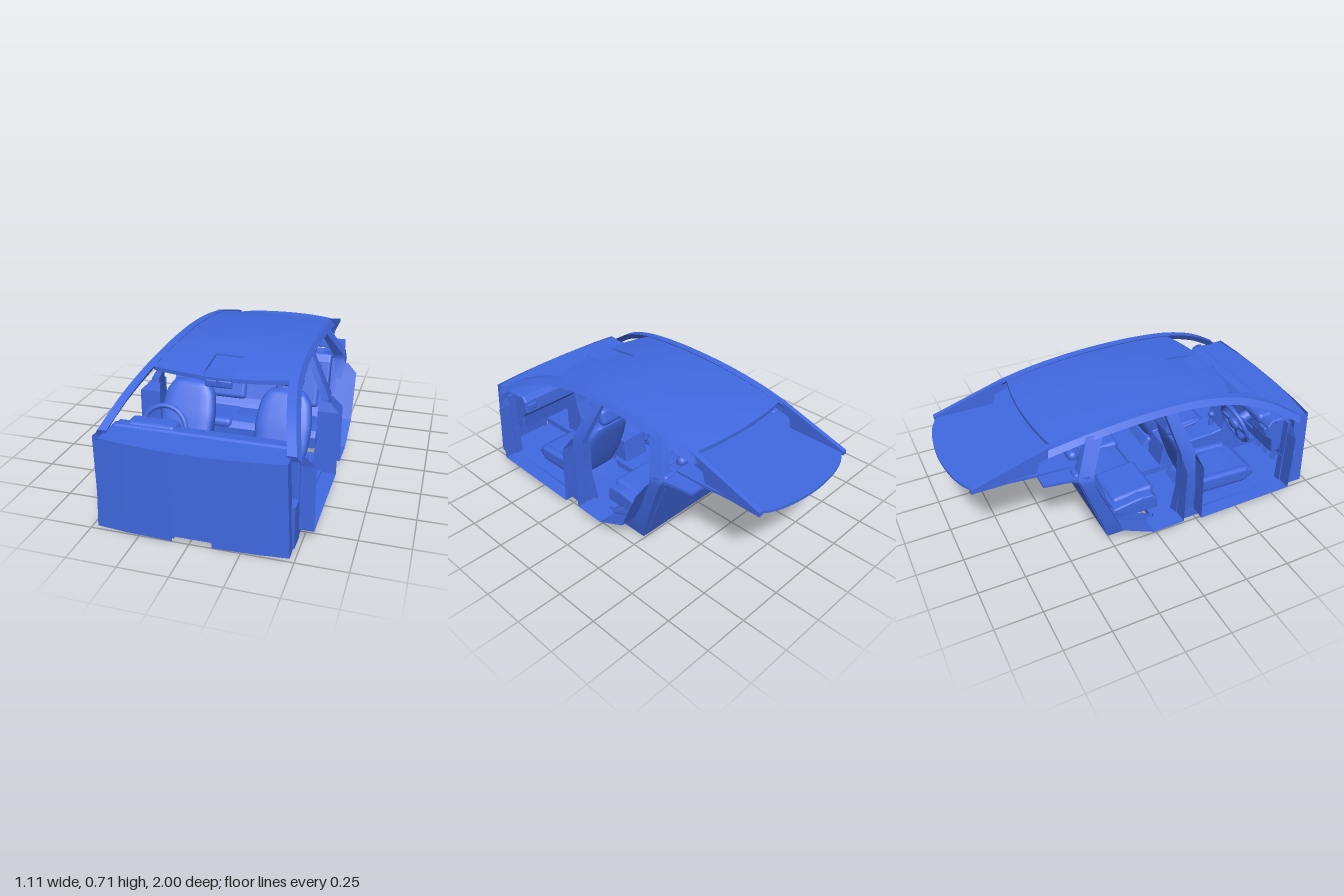
import * as THREE from 'three';
import { RoundedBoxGeometry } from 'three/addons/geometries/RoundedBoxGeometry.js';

const solid = new THREE.MeshStandardMaterial({ color: 0x4169e1 });
const thin = new THREE.MeshStandardMaterial({ color: 0x4169e1, side: THREE.DoubleSide });

function add(parent, name, geo, pos = [0, 0, 0], rot = [0, 0, 0], mat = solid) {
  const m = new THREE.Mesh(geo, mat);
  m.name = name;
  m.position.set(...pos);
  m.rotation.set(...rot);
  parent.add(m);
  return m;
}
// Box between two corners
function box(parent, name, x0, x1, y0, y1, z0, z1) {
  return add(parent, name, new THREE.BoxGeometry(x1 - x0, y1 - y0, z1 - z0),
    [(x0 + x1) / 2, (y0 + y1) / 2, (z0 + z1) / 2]);
}
// Moves every vertex by a rule
function warp(geo, fn) {
  const p = geo.attributes.position;
  for (let i = 0; i < p.count; i++) p.setXYZ(i, ...fn(p.getX(i), p.getY(i), p.getZ(i)));
  geo.computeVertexNormals();
  return geo;
}
// Interpolates a table row at t in 0..1
function rowAt(rows, t) {
  const f = t * (rows.length - 1), i = Math.min(Math.floor(f), rows.length - 2);
  return rows[i].map((a, k) => a + (rows[i + 1][k] - a) * (f - i));
}
// Side profile of [z, y] points, extruded across x
function profile(pts, x0, x1, bevel = 0) {
  const s = new THREE.Shape(pts.map(p => new THREE.Vector2(...p)));
  const g = new THREE.ExtrudeGeometry(s, {
    depth: x1 - x0 - 2 * bevel, bevelEnabled: bevel > 0, bevelSize: bevel,
    bevelThickness: bevel, bevelOffset: -bevel, bevelSegments: 3
  });
  return g.rotateY(-Math.PI / 2).translate(x1 - bevel, 0, 0);
}
// Sheet swept along a list of points, from edge a to edge b
function ribbon(pairs) {
  const g = new THREE.PlaneGeometry(1, 1, pairs.length - 1, 1).toNonIndexed();
  return warp(g, (x, y) => pairs[Math.round((x + 0.5) * (pairs.length - 1))][y > 0 ? 1 : 0]);
}
// Post: rows of [y, x inner, x outer, z back, z front], bottom to top
function post(rows) {
  const g = new THREE.BoxGeometry(1, 1, 1, 1, rows.length - 1, 1);
  return warp(g, (x, y, z) => {
    const [h, xi, xo, zb, zf] = rowAt(rows, y + 0.5);
    return [x < 0 ? xi : xo, h, z < 0 ? zb : zf];
  });
}
// Rounded cushion: rows of [y, z, half width, half depth]
function cushion(rows) {
  const g = new THREE.SphereGeometry(1, 24, 20);
  return warp(g, (x, y, z) => {
    const t = Math.acos(Math.max(-1, Math.min(1, -y))) / Math.PI;
    const [h, zc, w, d] = rowAt(rows, t);
    const r = Math.hypot(x, z) || 1, c = x / r, s = z / r;
    const pw = a => Math.sign(a) * Math.pow(Math.abs(a), 0.55);
    const k = Math.min(1, r * 2.5);
    return [pw(c) * w * k, h, zc + pw(s) * d * k];
  });
}
const roofY = (x, z) => 0.71 - (z > 0.12 ? 0.227 : 0.138) * (z - 0.12) ** 2 - 0.013 * (x / 0.35) ** 2;

function roofPatch(x0, x1, front) {
  return warp(new THREE.BoxGeometry(1, 1, 1, 10, 1, 18), (u, t, v) => {
    const x = x0 + (x1 - x0) * (u + 0.5);
    const zb = -0.545 + 0.04 * (x / 0.35) ** 2, zf = front(x);
    const z = zb + (zf - zb) * (v + 0.5);
    return [x, roofY(x, z) - (t < 0 ? 0.02 : 0), z];
  });
}

function buildSide() {
  const g = new THREE.Group();
  // Windscreen pillar and roof rail, running rear to front
  const path = new THREE.CatmullRomCurve3([
    [0.345, 0.625, -0.54], [0.352, 0.657, -0.35], [0.355, 0.68, -0.12], [0.355, 0.688, 0.1],
    [0.36, 0.68, 0.3], [0.38, 0.645, 0.52], [0.42, 0.57, 0.72], [0.465, 0.465, 0.89]
  ].map(p => new THREE.Vector3(...p)));
  add(g, 'roofRail', warp(new THREE.BoxGeometry(1, 1, 1, 1, 1, 28), (x, y, z) => {
    const p = path.getPoint(z + 0.5);
    return [p.x + x * 0.045 - y * 0.02, p.y + y * 0.032, p.z + y * 0.012];
  }));
  add(g, 'centrePillar', post([
    [0.03, 0.41, 0.47, 0.13, 0.25], [0.24, 0.44, 0.485, 0.14, 0.24],
    [0.47, 0.45, 0.49, 0.14, 0.22], [0.69, 0.345, 0.375, 0.09, 0.15]
  ]));
  add(g, 'rearPillar', post([
    [0.03, 0.39, 0.44, -0.26, 0.03], [0.075, 0.4, 0.45, -0.275, -0.04], [0.15, 0.41, 0.46, -0.3, -0.22],
    [0.3, 0.42, 0.47, -0.355, -0.29], [0.46, 0.42, 0.48, -0.415, -0.35],
    [0.5, 0.41, 0.47, -0.43, -0.345], [0.665, 0.345, 0.375, -0.34, -0.25]
  ]));
  // Door jambs: flanges that follow the openings outward
  const jamb = pts => ribbon(pts.map(([z, y]) =>
    [[0.44, y, z], [y > 0.41 ? 0.5 : 0.553, y, z]]));
  add(g, 'frontDoorJamb', jamb([[0.83, 0.45], [0.82, 0.4], [0.82, 0.06], [0.25, 0.05], [0.24, 0.4], [0.225, 0.45]]),
    undefined, undefined, thin);
  add(g, 'rearDoorJamb', jamb([[0.14, 0.45], [0.14, 0.4], [0.14, 0.07], [-0.04, 0.065], [-0.22, 0.15],
    [-0.33, 0.4], [-0.35, 0.45]]), undefined, undefined, thin);
  box(g, 'sill', 0.41, 0.475, 0.005, 0.06, 0.02, 0.9);
  box(g, 'kickPanel', 0.44, 0.48, 0.01, 0.23, 0.81, 0.91);
  box(g, 'hingePost', 0.44, 0.48, 0.22, 0.46, 0.815, 0.832);
  // Rear side frame tapering to the tail
  add(g, 'rearFrame', profile([[-0.33, 0.67], [-0.54, 0.645], [-0.93, 0.525], [-0.93, 0.503],
    [-0.6, 0.503], [-0.585, 0.575], [-0.36, 0.635]], 0.325, 0.35));
  // Rear corner trim
  add(g, 'cornerShelf', warp(new THREE.BoxGeometry(1, 0.014, 1), (x, y, z) =>
    [x < 0 ? 0.35 : z < 0 ? 0.44 : 0.475, 0.498 + y, z < 0 ? -0.6 : -0.37]));
  add(g, 'cornerTrim', new RoundedBoxGeometry(0.07, 0.06, 0.075, 2, 0.015), [0.42, 0.49, -0.405]);
  return g;
}

function buildSeat() {
  const g = new THREE.Group();
  add(g, 'seatBase', profile([[0.69, 0.08], [0.69, 0.12], [0.65, 0.145], [0.56, 0.155], [0.42, 0.13],
    [0.28, 0.11], [0.25, 0.06], [0.62, 0.05]], -0.13, 0.13, 0.018));
  for (const s of [-1, 1])
    add(g, 'seatBolster', new RoundedBoxGeometry(0.05, 0.09, 0.34, 3, 0.022), [s * 0.125, 0.125, 0.47], [0.05, 0, 0]);
  add(g, 'seatBack', cushion([[0.08, 0.34, 0.1, 0.03], [0.13, 0.335, 0.125, 0.055], [0.22, 0.3, 0.145, 0.06],
    [0.32, 0.26, 0.15, 0.055], [0.42, 0.215, 0.135, 0.045], [0.47, 0.195, 0.1, 0.035], [0.485, 0.19, 0.06, 0.015]]));
  add(g, 'headrest', new RoundedBoxGeometry(0.165, 0.1, 0.06, 4, 0.028), [0, 0.54, 0.165], [0.25, 0, 0]);
  for (const s of [-1, 1])
    add(g, 'headrestPost', new THREE.CylinderGeometry(0.006, 0.006, 0.09, 8), [s * 0.04, 0.475, 0.18], [-0.3, 0, 0]);
  return g;
}

export function createModel() {
  const car = new THREE.Group();
  for (const s of [1, -1]) {
    const side = buildSide();
    side.name = s > 0 ? 'leftSide' : 'rightSide';
    side.scale.x = s;
    car.add(side);
    const seat = buildSeat();
    seat.name = s > 0 ? 'passengerSeat' : 'driverSeat';
    seat.position.x = s * 0.265;
    car.add(seat);
  }

  // Roof with a recess for the overhead console
  const edge = x => 0.56 - 0.06 * (x / 0.35) ** 2;
  add(car, 'roofLeft', roofPatch(0.075, 0.35, edge));
  add(car, 'roofRight', roofPatch(-0.35, -0.075, edge));
  add(car, 'roofCentre', roofPatch(-0.075, 0.075, () => 0.335));
  add(car, 'overheadConsole', profile([[0.33, 0.69], [0.33, 0.665], [0.46, 0.65], [0.57, 0.655],
    [0.57, 0.668], [0.45, 0.672]], -0.075, 0.075));
  add(car, 'mirror', new RoundedBoxGeometry(0.14, 0.042, 0.025, 3, 0.011), [0, 0.623, 0.53]);
  add(car, 'mirrorStem', new THREE.CylinderGeometry(0.008, 0.008, 0.05, 10), [0, 0.645, 0.545]);

  // Bulkhead: front wall with returns and a tunnel notch
  const plan = [[-0.47, 0.89], [-0.475, 0.975], [-0.32, 0.99], [-0.085, 0.999], [-0.084, 0.999], [0.11, 0.999],
    [0.111, 0.999], [0.32, 0.99], [0.475, 0.975], [0.47, 0.89]];
  add(car, 'bulkhead', ribbon(plan.map(([x, z], i) =>
    [[x, i > 3 && i < 6 ? 0.032 : 0.003, z], [x * 0.955, 0.467, z - 0.008]])), undefined, undefined, thin);
  const top = new THREE.Shape();
  top.moveTo(-0.45, 0.76).lineTo(0.45, 0.76).lineTo(0.45, 0.95)
    .quadraticCurveTo(0, 1.03, -0.45, 0.95);
  add(car, 'dashTop', new THREE.ExtrudeGeometry(top, { depth: 0.012, bevelEnabled: false, curveSegments: 20 })
    .rotateX(Math.PI / 2), [0, 0.467, 0]);
  add(car, 'dashboard', profile([[0.83, 0.25], [0.83, 0.455], [0.8, 0.475], [0.74, 0.47], [0.715, 0.44],
    [0.71, 0.37], [0.75, 0.33], [0.76, 0.25]], -0.44, 0.44, 0.01));
  add(car, 'instrumentHood', new RoundedBoxGeometry(0.25, 0.06, 0.1, 3, 0.025), [-0.26, 0.455, 0.74]);
  add(car, 'centreStack', profile([[0.8, 0.06], [0.8, 0.42], [0.71, 0.42], [0.69, 0.3], [0.66, 0.2], [0.66, 0.06]],
    -0.085, 0.085, 0.008));
  for (const x of [-0.4, -0.05, 0.05, 0.4])
    add(car, 'airVent', new RoundedBoxGeometry(0.06, 0.035, 0.02, 2, 0.008), [x, 0.41, 0.708]);

  // Steering wheel
  const wheel = new THREE.Group();
  wheel.name = 'steeringWheel';
  add(wheel, 'rim', new THREE.TorusGeometry(0.115, 0.013, 10, 40));
  add(wheel, 'hub', new THREE.SphereGeometry(0.045, 20, 12).scale(1, 0.9, 0.5), [0, 0, 0.008]);
  for (const a of [0, Math.PI, -Math.PI / 2])
    add(wheel, 'spoke', new THREE.BoxGeometry(0.08, 0.026, 0.012),
      [0.075 * Math.cos(a), 0.075 * Math.sin(a), 0.004], [0, 0, a]);
  add(wheel, 'column', new THREE.CylinderGeometry(0.028, 0.035, 0.13, 16), [0, 0, -0.065], [Math.PI / 2, 0, 0]);
  for (const s of [-1, 1])
    add(wheel, 'stalk', new THREE.CylinderGeometry(0.006, 0.008, 0.1, 8), [s * 0.07, 0.02, -0.04], [0, 0, Math.PI / 2]);
  wheel.position.set(-0.26, 0.385, 0.62);
  wheel.rotation.set(0.35, Math.PI, 0, 'YXZ');
  car.add(wheel);

  // Centre console, gear lever, handbrake and pedals
  add(car, 'centreConsole', profile([[0.7, 0.06], [0.7, 0.215], [0.6, 0.195], [0.45, 0.19], [0.4, 0.215],
    [0.27, 0.21], [0.25, 0.06]], -0.08, 0.08, 0.01));
  add(car, 'gearLever', new THREE.CylinderGeometry(0.008, 0.016, 0.07, 12), [0, 0.235, 0.635]);
  add(car, 'gearKnob', new THREE.SphereGeometry(0.02, 16, 12), [0, 0.275, 0.635]);
  add(car, 'handbrake', new THREE.CapsuleGeometry(0.01, 0.1, 4, 10), [0.04, 0.21, 0.5], [1.4, 0, 0]);
  for (const x of [-0.33, -0.26, -0.19])
    add(car, 'pedal', new THREE.BoxGeometry(0.04, 0.055, 0.01), [x, 0.12, 0.87], [0.5, 0, 0]);

  // Floor pans and raised tunnel
  box(car, 'floorLeft', 0.11, 0.47, 0.003, 0.035, 0.02, 0.975);
  box(car, 'floorRight', -0.47, -0.085, 0.003, 0.035, 0.02, 0.975);
  box(car, 'tunnel', -0.086, 0.111, 0.032, 0.07, 0.02, 0.985);

  // Rear bench
  add(car, 'rearBench', profile([[0.06, 0.08], [0.06, 0.145], [0.03, 0.175], [-0.04, 0.18], [-0.2, 0.155],
    [-0.24, 0.2], [-0.33, 0.45], [-0.36, 0.485], [-0.41, 0.49], [-0.3, 0.15], [-0.24, 0.075]], -0.4, 0.4, 0.012));
  for (const s of [-1, 1]) {
    add(car, 'rearCushion', new RoundedBoxGeometry(0.26, 0.06, 0.25, 4, 0.028), [s * 0.22, 0.155, -0.06], [-0.08, 0, 0]);
    add(car, 'rearBackrest', new RoundedBoxGeometry(0.26, 0.27, 0.05, 4, 0.024), [s * 0.22, 0.32, -0.285], [-0.35, 0, 0]);
  }
  for (const x of [-0.23, 0, 0.23])
    add(car, 'rearHeadrest', new RoundedBoxGeometry(0.15, 0.06, 0.055, 4, 0.026), [x, 0.5, -0.38], [-0.3, 0, 0]);

  // Sloping wall behind the bench
  add(car, 'rearWall', post([[0.03, -0.42, 0.42, -0.262, -0.24], [0.498, -0.42, 0.42, -0.432, -0.41]]));

  // Tail deck with a rounded end
  const deck = new THREE.Shape();
  deck.moveTo(-0.37, -0.43).lineTo(-0.365, -0.6).lineTo(-0.335, -0.9)
    .bezierCurveTo(-0.3, -0.97, -0.12, -1, 0, -1).bezierCurveTo(0.12, -1, 0.3, -0.97, 0.335, -0.9)
    .lineTo(0.365, -0.6).lineTo(0.37, -0.43);
  add(car, 'tailDeck', new THREE.ExtrudeGeometry(deck, { depth: 0.014, bevelEnabled: false, curveSegments: 16 })
    .rotateX(Math.PI / 2), [0, 0.517, 0]);
  return car;
}
